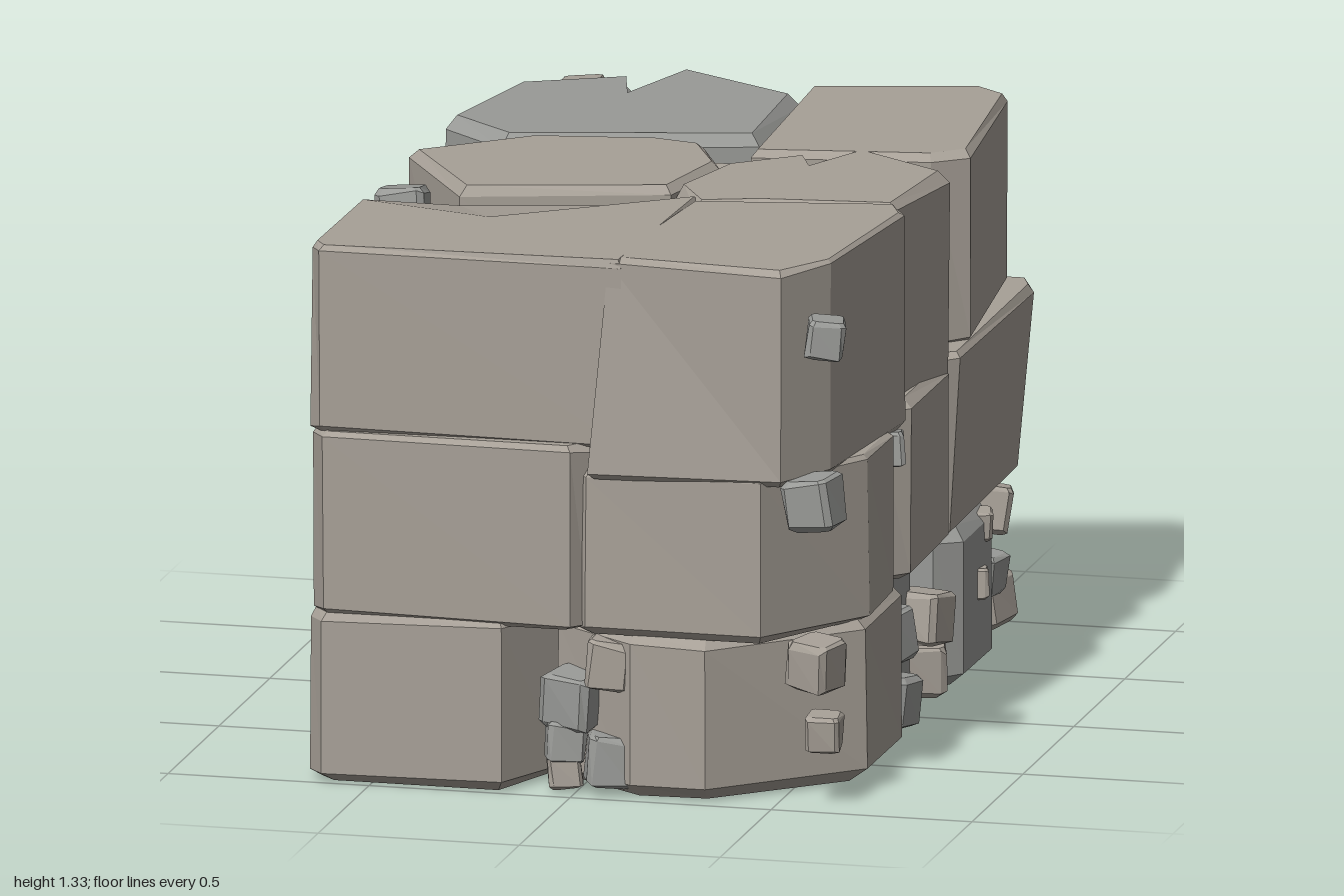
import * as THREE from 'three';

let seed = 7;
const rand = () => ((seed = (seed * 16807) % 2147483647) / 2147483647);

const mat = (color) => new THREE.MeshStandardMaterial({ color, flatShading: true });
const warm = mat(0xa7a097), cool = mat(0x999a97), rosy = mat(0xa79a8e);

// Rectangular footprint with its four corners cut off, each cut given as [along x, along z]
function cutRect(x0, x1, z0, z1, backLeft, backRight, frontRight, frontLeft) {
  return [
    [x0, z0 + backLeft[1]], [x0 + backLeft[0], z0],
    [x1 - backRight[0], z0], [x1, z0 + backRight[1]],
    [x1, z1 - frontRight[1]], [x1 - frontRight[0], z1],
    [x0 + frontLeft[0], z1], [x0, z1 - frontLeft[1]],
  ];
}

// Bevelled stone over a footprint of [x, z, notch, drop]: a notch cuts into the upper edge,
// a drop lowers it, and taper narrows the foot of the whole stone
function stoneGeometry(outline, y0, y1, bevel, wobble, taper) {
  const n = outline.length;
  const cx = outline.reduce((s, p) => s + p[0], 0) / n;
  const cz = outline.reduce((s, p) => s + p[1], 0) / n;
  // each ring: height, inset, share of notch and drop, vertical wobble
  const rings = [
    [y0, taper + bevel * 1.5, 0, 0],
    [y0 + bevel, taper, 0, wobble],
    [y1 - bevel, 0, 0.7, wobble],
    [y1, bevel, 1, 0],
  ];
  const pos = [], index = [];
  for (const [y, inset, share, dy] of rings) {
    for (const [x, z, notch = 0, drop = 0] of outline) {
      const dx = cx - x, dz = cz - z;
      const d = (inset + notch * share + rand() * wobble * 0.6) / Math.hypot(dx, dz);
      pos.push(x + dx * d, y - drop * share + (rand() - 0.5) * dy, z + dz * d);
    }
  }
  const bottom = rings.length * n, last = bottom - n;
  pos.push(cx, y0, cz, cx, y1, cz);
  for (let i = 0; i < n; i++) {
    const j = (i + 1) % n;
    for (let r = 0; r < last; r += n) {
      index.push(r + i, r + n + j, r + j, r + i, r + n + i, r + n + j);
    }
    index.push(bottom, i, j, bottom + 1, last + j, last + i);
  }
  const indexed = new THREE.BufferGeometry();
  indexed.setAttribute('position', new THREE.Float32BufferAttribute(pos, 3));
  indexed.setIndex(index);
  const flat = indexed.toNonIndexed();
  flat.computeVertexNormals();
  return flat;
}

export function createModel() {
  seed = 7;
  const group = new THREE.Group();
  group.name = 'stoneBlockStack';

  const stone = (name, material, y0, y1, outline, bevel = 0.024, taper = 0) => {
    const mesh = new THREE.Mesh(stoneGeometry(outline, y0, y1, bevel, 0.014, taper), material);
    mesh.name = name;
    group.add(mesh);
  };

  // top course
  stone('topBackLeftStone', cool, 0.84, 1.33, [[-0.66, -0.36], [-0.59, -0.76], [-0.34, -0.9],
    [-0.29, -0.94, 0.2], [-0.2, -1], [0.12, -0.8], [0.13, -0.36], [-0.48, -0.21]], 0.03);
  stone('topBackRightStone', warm, 0.84, 1.33, [[0.11, -0.9], [0.52, -1], [0.6, -0.94], [0.66, -0.33],
    [0.58, -0.26], [0.14, -0.2]]);
  stone('topMiddleLeftStone', warm, 0.82, 1.33, [[-0.66, -0.02], [-0.42, -0.25], [-0.1, -0.3],
    [0.02, -0.27], [0.11, -0.08], [0.05, 0.2], [-0.45, 0.33]]);
  stone('topMiddleRightStone', warm, 0.8, 1.33, [[0.05, 0.18], [0.1, -0.08], [0.27, -0.22],
    [0.32, -0.26, 0.14], [0.41, -0.3], [0.66, -0.13], [0.62, 0.24], [0.28, 0.29], [0.14, 0.33]]);
  stone('topFrontRightStone', warm, 0.79, 1.33, [[0.13, 0.31], [0.62, 0.22], [0.66, 0.3], [0.61, 0.83],
    [0.52, 0.98], [0.04, 1, 0.08], [0.02, 0.8, 0.07]], 0.016);
  stone('topFrontLeftStone', warm, 0.86, 1.33, [[-0.66, 0.5], [-0.45, 0.33, 0, 0.04], [0.02, 0.22, 0, 0.04],
    [0.14, 0.27], [0.12, 0.96], [-0.63, 0.99], [-0.66, 0.95]], 0.016);

  // middle course
  stone('middleFrontLeftStone', warm, 0.41, 0.87,
    cutRect(-0.66, 0.04, 0.24, 1, [0.18, 0.16], [0.03, 0.03], [0.04, 0.05], [0.04, 0.06]), 0.016);
  stone('middleFrontRightStone', warm, 0.4, 0.81,
    cutRect(0.01, 0.66, 0.33, 0.98, [0.03, 0.03], [0.08, 0.08], [0.19, 0.32], [0.02, 0.02]), 0.016);
  stone('middleRightStone', warm, 0.4, 0.85,
    cutRect(0.03, 0.66, -0.2, 0.32, [0.06, 0.06], [0.08, 0.07], [0.07, 0.07], [0.08, 0.05]));
  stone('middleBackRightStone', warm, 0.39, 0.86,
    cutRect(-0.06, 0.67, -1, -0.16, [0.1, 0.22], [0.03, 0.06], [0.06, 0.04], [0.07, 0.05]), 0.02, 0.05);
  stone('middleBackLeftStone', rosy, 0.38, 0.86,
    cutRect(-0.65, 0.03, -0.9, -0.2, [0.26, 0.32], [0.1, 0.1], [0.05, 0.05], [0.14, 0.1]));
  stone('middleLeftStone', warm, 0.4, 0.85,
    cutRect(-0.65, 0.04, -0.24, 0.26, [0.17, 0.18], [0.03, 0.03], [0.03, 0.05], [0.2, 0.12]));

  // bottom course
  stone('bottomFrontLeftStone', warm, 0, 0.43,
    cutRect(-0.66, -0.07, 0.28, 1, [0.16, 0.17], [0.03, 0.03], [0.1, 0.22], [0.04, 0.05]));
  stone('bottomFrontRightStone', warm, 0, 0.41,
    cutRect(-0.08, 0.66, 0.23, 0.98, [0.14, 0.2], [0.09, 0.1], [0.33, 0.3], [0.22, 0.16]), 0.03);
  stone('bottomMiddleRightStone', cool, 0.01, 0.4,
    cutRect(0.02, 0.57, -0.24, 0.24, [0.04, 0.04], [0.1, 0.12], [0.14, 0.16], [0.02, 0.02]), 0.035);
  stone('bottomBackRightStone', cool, 0, 0.4,
    cutRect(0.03, 0.65, -0.9, -0.25, [0.13, 0.16], [0.2, 0.3], [0.06, 0.06], [0.07, 0.05]), 0.035);
  stone('bottomBackLeftStone', cool, 0, 0.42,
    cutRect(-0.66, -0.05, -0.99, -0.2, [0.03, 0.04], [0.06, 0.25], [0.08, 0.08], [0.12, 0.2]));
  stone('bottomMiddleLeftStone', cool, 0, 0.42,
    cutRect(-0.62, 0.03, -0.2, 0.27, [0.14, 0.22], [0.03, 0.03], [0.03, 0.03], [0.2, 0.1]), 0.03);

  // pebbles wedged one above another in a joint
  const pebbles = new THREE.Group();
  pebbles.name = 'pebbles';
  const pebbleColumn = (x, z, size, heights) => {
    for (const y of heights) {
      const s = size * (0.92 + rand() * 0.2), h = s / 2, c = [s * 0.12, s * 0.12];
      const outline = cutRect(-h, h, -h, h, c, c, c, c);
      const mesh = new THREE.Mesh(stoneGeometry(outline, -h, h, s * 0.1, s * 0.12, 0), rand() < 0.6 ? warm : cool);
      mesh.name = 'pebble';
      mesh.position.set(x + (rand() - 0.5) * 0.02, y, z + (rand() - 0.5) * 0.02);
      mesh.rotation.set((rand() - 0.5) * 0.3, (rand() - 0.5) * 0.7, (rand() - 0.5) * 0.3);
      pebbles.add(mesh);
    }
  };
  // front right corner and front gap
  pebbleColumn(0.61, 0.92, 0.09, [0.18, 1.16]);
  pebbleColumn(0.59, 0.92, 0.12, [0.35, 0.75]);
  pebbleColumn(-0.04, 0.92, 0.09, [0.05, 0.12]);
  pebbleColumn(-0.02, 0.9, 0.13, [0.22]);
  pebbleColumn(0.08, 0.92, 0.12, [0.08, 0.32]);
  // right side joints
  pebbleColumn(0.62, 0.35, 0.08, [0.75]);
  pebbleColumn(0.59, 0.2, 0.13, [0.25]);
  pebbleColumn(0.58, 0.15, 0.13, [0.08]);
  pebbleColumn(0.59, -0.12, 0.13, [0.22]);
  pebbleColumn(0.58, -0.18, 0.13, [0.08]);
  pebbleColumn(0.62, -0.48, 0.07, [0.22]);
  pebbleColumn(0.62, -0.55, 0.07, [0.35]);
  pebbleColumn(0.58, -0.75, 0.11, [0.18]);
  pebbleColumn(0.57, -0.83, 0.12, [0.1, 0.32]);
  pebbleColumn(0.53, -0.94, 0.09, [0.08, 0.28]);
  // back joints
  pebbleColumn(0.05, -0.93, 0.1, [0.92]);
  pebbleColumn(0.07, -0.27, 0.1, [1.22]);
  pebbleColumn(0.03, -0.91, 0.11, [0.1, 0.28]);
  // back left corner
  pebbleColumn(-0.6, -0.89, 0.12, [1.15]);
  pebbleColumn(-0.45, -0.92, 0.11, [1.25]);
  pebbleColumn(-0.52, -0.88, 0.13, [0.95, 1.1]);
  pebbleColumn(-0.55, -0.86, 0.12, [0.7]);
  pebbleColumn(-0.44, -0.89, 0.1, [0.49]);
  pebbleColumn(-0.59, -0.82, 0.11, [0.53]);
  // left side joints
  pebbleColumn(-0.6, -0.19, 0.1, [0.48, 1.03, 1.18]);
  pebbleColumn(-0.6, 0.25, 0.11, [0.13, 0.6, 0.92, 1.24]);

  group.add(pebbles);
  return group;
}
